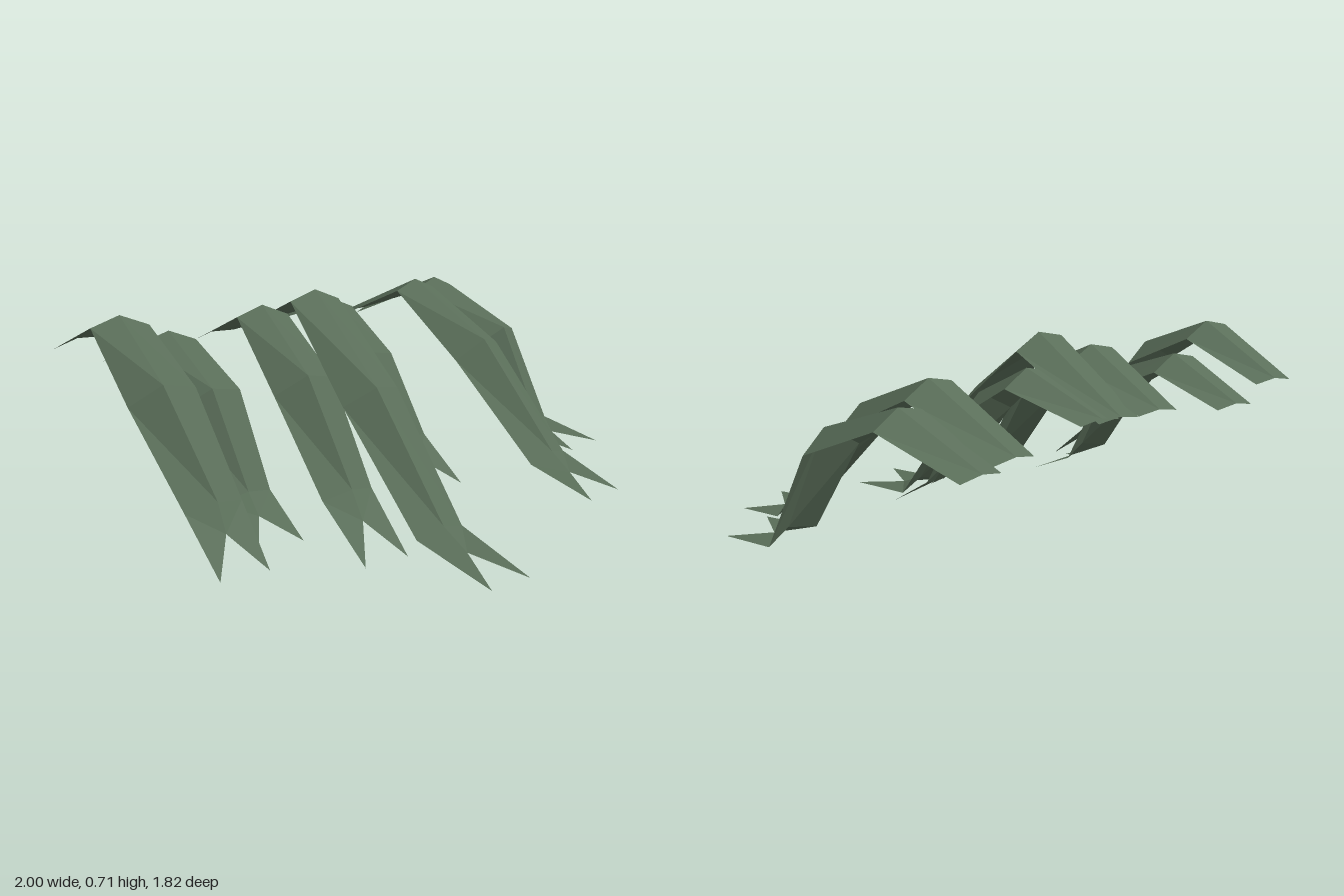
import * as THREE from 'three';

// Per strip: yaw in degrees, then centre points from the back hem over the crest to the forked tip
const GROUPS = {
  rightCluster: [
    { yaw: 38, path: [[-0.922, 0.525, -0.063], [-0.73, 0.68, 0.185], [-0.57, 0.538, 0.45], [-0.405, 0.25, 0.65], [-0.30, 0.115, 0.845]] },
    { yaw: 40, path: [[-0.767, 0.447, -0.135], [-0.585, 0.575, 0.06], [-0.435, 0.455, 0.285], [-0.32, 0.175, 0.45], [-0.195, 0.097, 0.64]] },
  ],
  middleCluster: [
    { yaw: 39, path: [[-0.464, 0.457, -0.292], [-0.265, 0.625, -0.055], [-0.12, 0.475, 0.23], [0.022, 0.165, 0.425], [0.143, 0.045, 0.66]] },
    { yaw: 40, path: [[-0.315, 0.453, -0.40], [-0.08, 0.673, -0.08], [0.108, 0.412, 0.185], [0.33, 0.04, 0.47], [0.53, 0.02, 0.76]] },
    { yaw: 43, path: [[-0.247, 0.455, -0.447], [-0.022, 0.573, -0.267], [0.107, 0.432, -0.08], [0.238, 0.18, 0.05], [0.37, 0.075, 0.22]] },
  ],
  leftCluster: [
    { yaw: 47, path: [[0.052, 0.387, -0.703], [0.31, 0.573, -0.475], [0.522, 0.415, -0.22], [0.772, 0.078, 0.0], [0.937, 0.05, 0.24]] },
    { yaw: 49, path: [[0.16, 0.367, -0.847], [0.403, 0.513, -0.672], [0.622, 0.38, -0.447], [0.765, 0.062, -0.335], [0.943, 0.052, -0.15]] },
  ],
};

const HALF_WIDTH = [0.098, 0.111, 0.127, 0.108, 0.092];
const RIDGE = [0.016, 0.04, 0.085, 0.037, 0];  // height of the centre fold
const SHIFT = [0, 0, -0.025, 0, 0];            // sideways offset of the centre fold
const TILT = [0, -0.02, 0, -0.012, -0.015];    // drop of one edge against the other
const NOTCH = 0.4;                             // how far the fold runs into the forked tip

// Folded strip: three points per station, the last centre point pulled back into a fork
function stripGeometry({ yaw, path }) {
  const a = THREE.MathUtils.degToRad(yaw);
  const side = new THREE.Vector3(Math.cos(a), 0, -Math.sin(a));
  const pts = path.map((p) => new THREE.Vector3(...p));
  const last = pts.length - 1;
  const rows = pts.map((c, i) => {
    const tangent = pts[Math.min(i + 1, last)].clone().sub(pts[Math.max(i - 1, 0)]);
    const normal = tangent.cross(side).normalize();
    const edge = side.clone().multiplyScalar(HALF_WIDTH[i]);
    edge.y = TILT[i];
    const mid = i === last
      ? pts[last - 1].clone().lerp(c, NOTCH)
      : c.clone().addScaledVector(normal, RIDGE[i]).addScaledVector(side, SHIFT[i]);
    return [c.clone().sub(edge), mid, c.clone().add(edge)];
  });
  const pos = [];
  const tri = (...v) => v.forEach((p) => pos.push(p.x, p.y, p.z));
  for (let i = 0; i < last; i++) {
    for (let j = 0; j < 2; j++) {
      const [p, q] = [rows[i][j], rows[i][j + 1]];
      const [r, s] = [rows[i + 1][j], rows[i + 1][j + 1]];
      // in the fork the diagonal must run to the notch on both sides
      if (i === last - 1 && j === 1) {
        tri(p, r, q);
        tri(q, r, s);
      } else {
        tri(p, r, s);
        tri(p, s, q);
      }
    }
  }
  const geo = new THREE.BufferGeometry();
  geo.setAttribute('position', new THREE.Float32BufferAttribute(pos, 3));
  geo.computeVertexNormals();
  return geo;
}

export function createModel() {
  const mossGreen = new THREE.MeshStandardMaterial({
    color: 0x5a6e59, flatShading: true, side: THREE.DoubleSide,
  });
  mossGreen.name = 'mossGreen';

  const model = new THREE.Group();
  model.name = 'drapedStrips';
  for (const [name, strips] of Object.entries(GROUPS)) {
    const cluster = new THREE.Group();
    cluster.name = name;
    strips.forEach((strip, i) => {
      const mesh = new THREE.Mesh(stripGeometry(strip), mossGreen);
      mesh.name = `forkedStrip${i + 1}`;
      cluster.add(mesh);
    });
    model.add(cluster);
  }
  return model;
}
